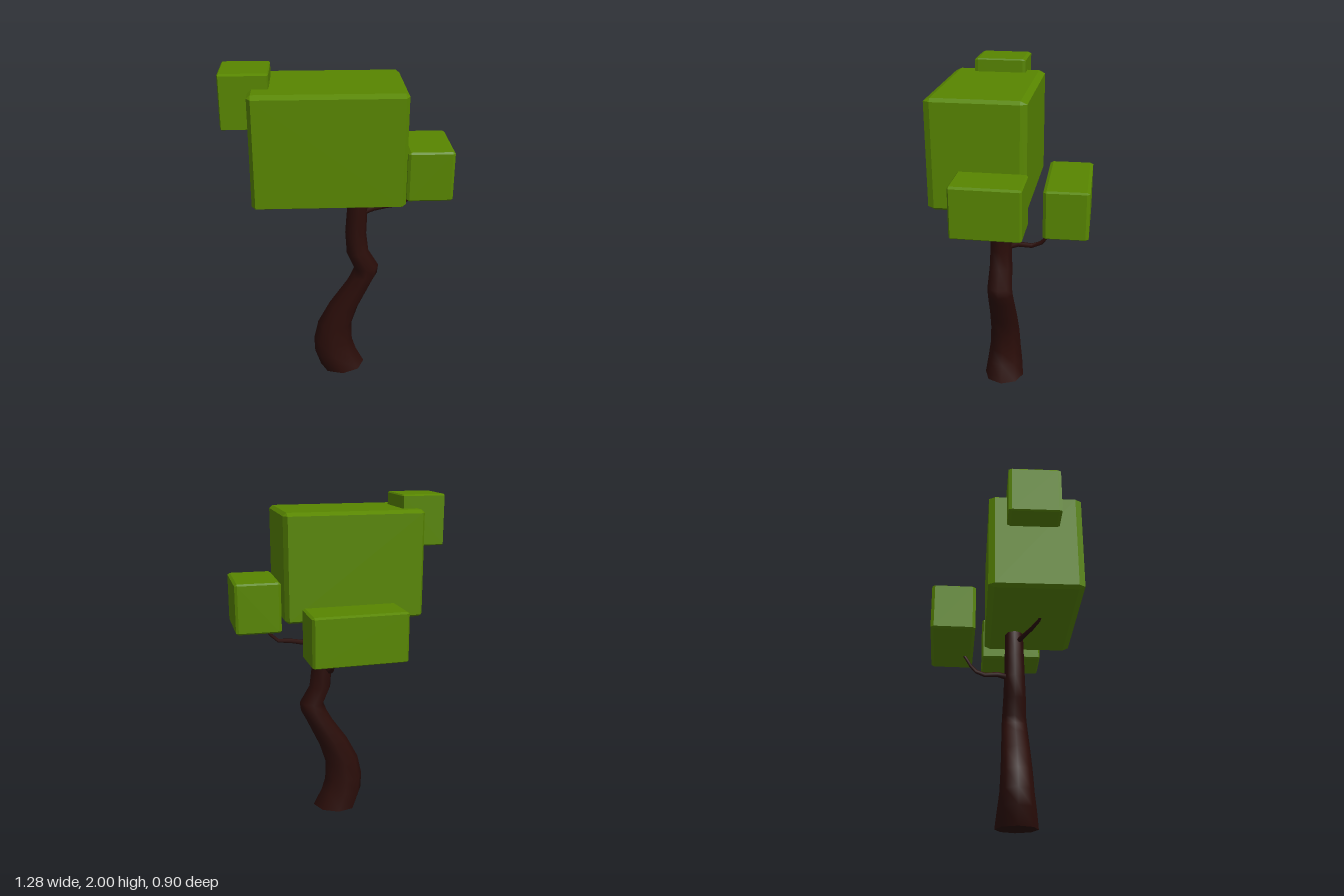
import * as THREE from 'three';
import { ConvexGeometry } from 'three/addons/geometries/ConvexGeometry.js';

const leafMaterial = new THREE.MeshStandardMaterial({ color: 0x588600 });
const barkMaterial = new THREE.MeshStandardMaterial({ color: 0x2a0d09 });

// Box with one flat chamfer per edge; size and chamfer are given per axis
function chamferedBox(size, chamfer) {
  const points = [];
  for (const sx of [-1, 1]) for (const sy of [-1, 1]) for (const sz of [-1, 1]) {
    for (let axis = 0; axis < 3; axis++) {
      const p = [sx, sy, sz].map((s, i) => s * (size[i] / 2 - (i === axis ? 0 : chamfer[i])));
      points.push(new THREE.Vector3(...p));
    }
  }
  return new ConvexGeometry(points);
}

// Skin over rings that run counter-clockwise about the path, with flat end caps
function skinRings(rings) {
  const n = rings[0].length;
  const positions = rings.flat();
  const index = [];
  for (let r = 0; r < rings.length - 1; r++) {
    for (let i = 0; i < n; i++) {
      const a = r * n + i, b = r * n + (i + 1) % n;
      index.push(a, b, a + n, b, b + n, a + n);
    }
  }
  [rings[0], rings[rings.length - 1]].forEach((ring, end) => {
    const start = positions.length;
    positions.push(...ring);
    for (let i = 1; i < n - 1; i++) {
      if (end) index.push(start, start + i, start + i + 1);
      else index.push(start, start + i + 1, start + i);
    }
  });
  const geometry = new THREE.BufferGeometry();
  geometry.setAttribute('position', new THREE.Float32BufferAttribute(positions.flatMap(p => p.toArray()), 3));
  geometry.setIndex(index);
  geometry.computeVertexNormals();
  return geometry;
}

// Trunk: each ring spans a left and a right point, with its own depth
function trunkGeometry() {
  const sections = [ // left x, left y, right x, right y, half depth
    [-0.115, 0.003, 0.163, 0.022, 0.125],
    [-0.152, 0.11, 0.112, 0.12, 0.112],
    [-0.157, 0.21, 0.086, 0.2, 0.1],
    [-0.13, 0.335, 0.082, 0.32, 0.093],
    [-0.057, 0.475, 0.12, 0.44, 0.087],
    [0.035, 0.605, 0.202, 0.615, 0.081],
    [0.072, 0.67, 0.238, 0.685, 0.078],
    [0.095, 0.725, 0.245, 0.74, 0.075],
    [0.05, 0.83, 0.182, 0.845, 0.07],
    [0.04, 0.97, 0.167, 0.96, 0.065],
    [0.05, 1.12, 0.172, 1.1, 0.061],
    [0.07, 1.34, 0.19, 1.34, 0.057]
  ];
  const sides = 8;
  return skinRings(sections.map(([lx, ly, rx, ry, depth]) =>
    Array.from({ length: sides }, (_, i) => {
      const a = (i / sides) * Math.PI * 2, c = Math.cos(a) / 2;
      return new THREE.Vector3(
        (lx + rx) / 2 + c * (rx - lx),
        (ly + ry) / 2 + c * (ry - ly),
        0.075 - Math.sin(a) * depth);
    })));
}

// Branch: tapering six-sided tube along a bent path
function branchGeometry(path, startRadius, endRadius) {
  const points = path.map(p => new THREE.Vector3(...p));
  const up = new THREE.Vector3(0, 1, 0);
  return skinRings(points.map((p, k) => {
    const tangent = points[Math.min(k + 1, points.length - 1)].clone()
      .sub(points[Math.max(k - 1, 0)]).normalize();
    const side = new THREE.Vector3().crossVectors(up, tangent).normalize();
    const lift = new THREE.Vector3().crossVectors(tangent, side);
    const radius = THREE.MathUtils.lerp(startRadius, endRadius, k / (points.length - 1));
    return Array.from({ length: 6 }, (_, i) => {
      const a = (i / 6) * Math.PI * 2;
      return p.clone()
        .addScaledVector(side, Math.cos(a) * radius)
        .addScaledVector(lift, Math.sin(a) * radius);
    });
  }));
}

export function createModel() {
  const tree = new THREE.Group();
  tree.name = 'tree';
  const add = (name, geometry, material) => {
    const mesh = new THREE.Mesh(geometry, material);
    mesh.name = name;
    tree.add(mesh);
    return mesh;
  };

  add('trunk', trunkGeometry(), barkMaterial);

  // Branches reaching into the foliage
  const branches = {
    leftBranch: [[0.14, 1.1, 0.075], [0.21, 1.125, 0.075], [0.29, 1.14, 0.075], [0.37, 1.147, 0.075], [0.42, 1.19, 0.075], [0.46, 1.29, 0.075]],
    backBranch: [[0.095, 0.975, 0.03], [0.095, 0.993, -0.03], [0.095, 0.988, -0.11], [0.095, 1.01, -0.165], [0.095, 1.05, -0.2], [0.095, 1.15, -0.26]],
    rightBranch: [[0.1, 1.22, 0.09], [0.05, 1.233, 0.12], [-0.04, 1.25, 0.175], [-0.1, 1.275, 0.215], [-0.13, 1.33, 0.235]]
  };
  for (const [name, path] of Object.entries(branches)) {
    add(name, branchGeometry(path, 0.018, 0.008), barkMaterial);
  }

  // Foliage blocks: name, size, centre, chamfer, turn about y
  const blocks = [
    ['mainFoliage', [0.837, 0.635, 0.56], [-0.067, 1.603, 0.17], [0.022, 0.018, 0.037], 0],
    ['rightFoliage', [0.266, 0.303, 0.312], [-0.507, 1.848, 0.155], [0.007, 0.008, 0.02], 0],
    ['leftFoliage', [0.263, 0.293, 0.39], [0.509, 1.393, 0.07], [0.015, 0.01, 0.01], 0],
    ['backFoliage', [0.556, 0.29, 0.262], [-0.007, 1.258, -0.315], [0.014, 0.009, 0.018], 0.028]
  ];
  for (const [name, size, centre, chamfer, turn] of blocks) {
    const block = add(name, chamferedBox(size, chamfer), leafMaterial);
    block.position.set(...centre);
    block.rotation.y = turn;
  }
  return tree;
}
